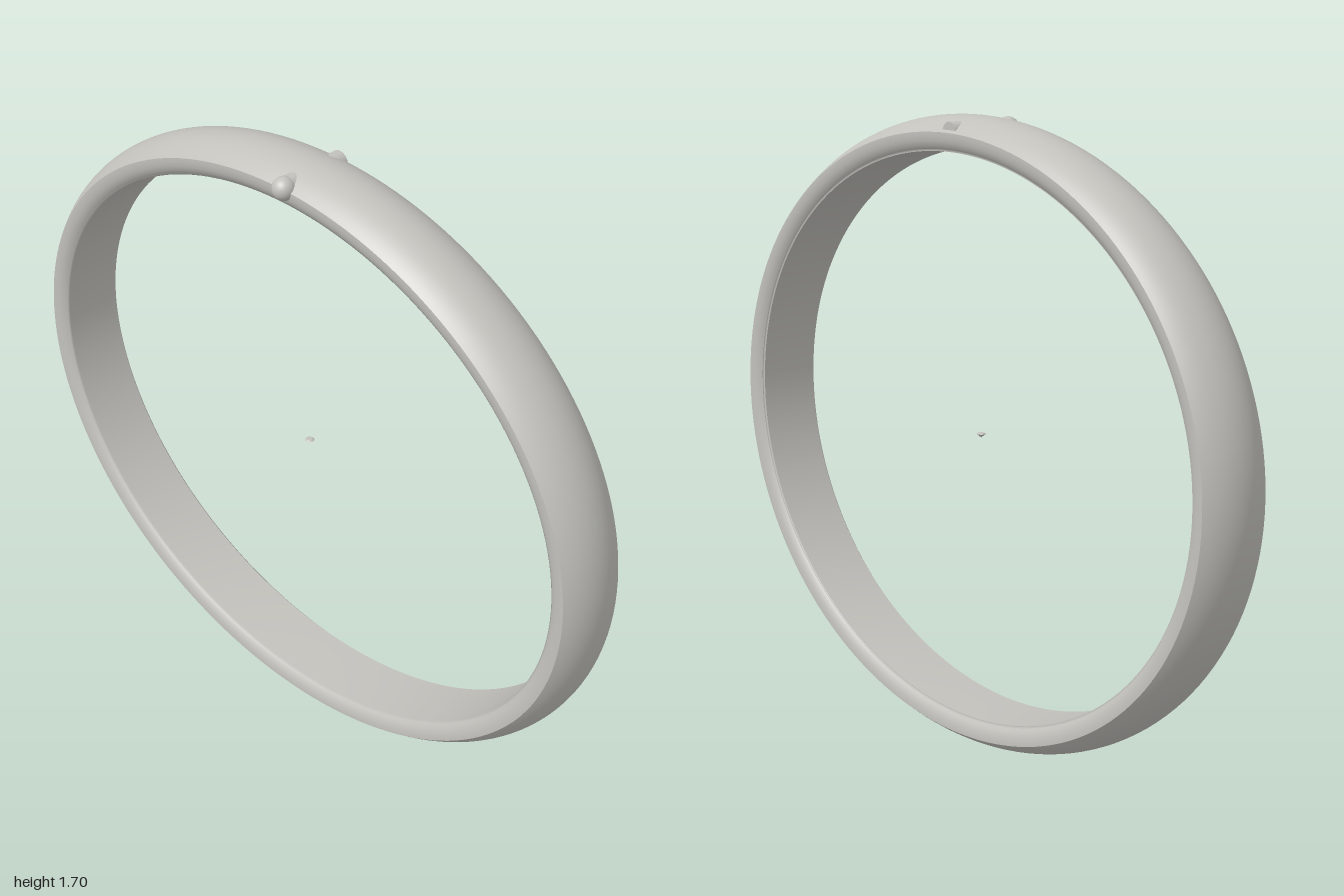
import * as THREE from 'three';

const CY = 0.85; // height of the ring centre
const CX = 0.009; // band sits slightly off centre because of the pin head
const HALF = 0.104; // half width of the band

// Sweep a profile of [x, depth below the outer oval] around the oval
function sweepOval(profile, segments = 160) {
  const positions = [], index = [];
  for (const [x, depth] of profile) {
    for (let j = 0; j < segments; j++) {
      const t = (j / segments) * Math.PI * 2;
      positions.push(x, (0.85 - depth) * Math.cos(t), (1 - depth) * Math.sin(t));
    }
  }
  for (let i = 0; i < profile.length - 1; i++) {
    for (let j = 0; j < segments; j++) {
      const k = (j + 1) % segments;
      const a = i * segments + j, b = i * segments + k;
      const c = a + segments, d = b + segments;
      index.push(a, b, c, b, d, c);
    }
  }
  const geometry = new THREE.BufferGeometry();
  geometry.setAttribute('position', new THREE.Float32BufferAttribute(positions, 3));
  geometry.setIndex(index);
  geometry.computeVertexNormals();
  return geometry;
}

export function createModel() {
  const group = new THREE.Group();
  const silver = new THREE.MeshStandardMaterial({ color: 0xc2c1bc });
  silver.name = 'silver';

  const add = (name, geometry, x, y, parent = group) => {
    const mesh = new THREE.Mesh(geometry, silver);
    mesh.name = name;
    mesh.position.set(x, y, 0);
    parent.add(mesh);
    return mesh;
  };

  // Oval band: domed outside, softened rims, plain inside
  const band = new THREE.Group();
  band.name = 'band';
  group.add(band);

  const crown = [];
  const radius = (HALF * HALF + 0.04 * 0.04) / 0.08;
  for (let i = 0; i <= 20; i++) {
    const x = HALF * (i / 10 - 1);
    crown.push([x, radius - Math.sqrt(radius * radius - x * x)]);
  }
  add('outerDome', sweepOval(crown), CX, CY, band);

  const rim = [[HALF, 0.04], [HALF, 0.05], [0.102, 0.064], [0.097, 0.077], [0.09, 0.085]];
  add('leftRim', sweepOval(rim), CX, CY, band);
  const rightRim = rim.map(([x, d]) => [-x, d]).reverse();
  add('rightRim', sweepOval(rightRim), CX, CY, band);

  // Small step just inside the left rim, then the inner wall
  add('innerStep', sweepOval([[0.09, 0.085], [0.086, 0.085], [0.086, 0.091]]), CX, CY, band);
  add('innerWall', sweepOval([[0.086, 0.091], [-0.086, 0.091], [-0.09, 0.085]]), CX, CY, band);

  // Hinge pin across the top with a ball at one end
  const pin = add('hingePin', new THREE.CylinderGeometry(0.028, 0.028, 0.195, 32), 0.0075, 1.66);
  pin.rotation.z = Math.PI / 2;
  add('pinBall', new THREE.SphereGeometry(0.031, 32, 20), -0.089, 1.66);

  // Tiny pointed gem at the centre
  const gem = [[0, -0.008], [0.013, 0.002], [0.008, 0.005], [0, 0.005]];
  const gemPoints = gem.map(([r, y]) => new THREE.Vector2(r, y));
  const gemGeometry = new THREE.LatheGeometry(gemPoints, 12).toNonIndexed();
  gemGeometry.computeVertexNormals();
  add('gem', gemGeometry, 0, CY);

  return group;
}
